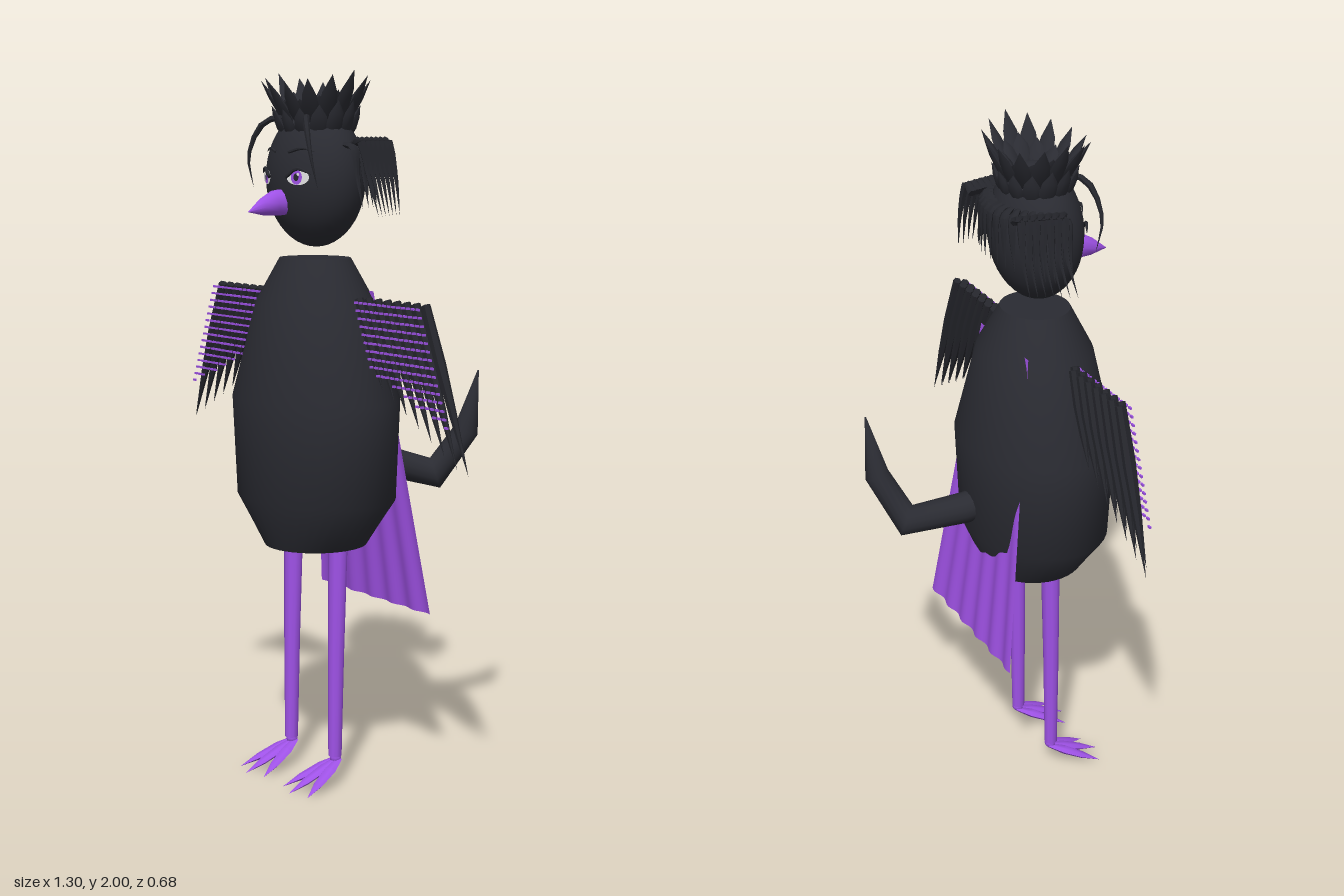
import * as THREE from 'three';
import { mergeGeometries, toCreasedNormals } from 'three/addons/utils/BufferGeometryUtils.js';

const V = (x, y, z) => new THREE.Vector3(x, y, z);
const X = V(1, 0, 0), Z = V(0, 0, 1);

// Loft of elliptical rings along points. Each radius is [across, along ref].
function loft(points, radii, sides, ref, crease = 0.8) {
  const pos = [], idx = [], n = points.length;
  points.forEach((p, i) => {
    const t = points[Math.min(i + 1, n - 1)].clone().sub(points[Math.max(i - 1, 0)]).normalize();
    const a = ref.clone().cross(t).normalize(), b = t.clone().cross(a);
    const [ra, rb = ra] = [radii[i]].flat();
    for (let j = 0; j < sides; j++) {
      const q = j / sides * Math.PI * 2;
      pos.push(...p.clone().addScaledVector(a, ra * Math.cos(q)).addScaledVector(b, rb * Math.sin(q)).toArray());
    }
  });
  for (let i = 0; i < n - 1; i++) for (let j = 0; j < sides; j++) {
    const k = (j + 1) % sides, A = i * sides, B = A + sides;
    idx.push(A + j, A + k, B + k, A + j, B + k, B + j);
  }
  for (let j = 0; j < sides; j++) {
    const k = (j + 1) % sides, e = (n - 1) * sides, c = n * sides;
    idx.push(c, k, j, c + 1, e + j, e + k);
  }
  pos.push(...points[0].toArray(), ...points[n - 1].toArray());
  const g = new THREE.BufferGeometry();
  g.setAttribute('position', new THREE.Float32BufferAttribute(pos, 3));
  g.setIndex(idx);
  return toCreasedNormals(g, crease);
}

// Tapering blade that follows a smooth curve
function strand(points, r, ref, thin = 1, steps = 8) {
  const pts = new THREE.CatmullRomCurve3(points).getPoints(steps);
  return loft(pts, pts.map((_, i) => {
    const w = r * Math.min(1, 1.6 * (1 - i / steps));
    return [w, w * thin];
  }), 6, ref);
}

// Straight pointed leaf: width w, thickness d along ref
function leaf(root, tip, w, d, ref) {
  const f = [0, 0.3, 0.65, 1], s = [0.5, 1, 0.8, 0];
  return loft(f.map(t => root.clone().lerp(tip, t)), s.map(k => [w * k, d * k]), 6, ref);
}

export function createModel() {
  const mat = (name, color) => {
    const m = new THREE.MeshStandardMaterial({ color });
    m.name = name;
    return m;
  };
  const black = mat('charcoal', 0x2a2b32), dark = mat('featherBlack', 0x25262c);
  const purple = mat('purple', 0xa455ee), capeMat = mat('capePurple', 0xa052e6);
  const white = mat('eyeWhite', 0xf4f4f4);
  capeMat.side = THREE.DoubleSide;
  const model = new THREE.Group();
  const add = (name, geo, material, parent = model) => {
    const m = new THREE.Mesh(Array.isArray(geo) ? mergeGeometries(geo) : geo, material);
    m.name = name;
    parent.add(m);
    return m;
  };

  // Body: barrel of elliptical rings [y, z radius, x radius]
  const rings = [[0.68, 0.145, 0.145], [0.82, 0.202, 0.262], [1.1, 0.215, 0.272], [1.37, 0.158, 0.182], [1.49, 0.096, 0.106]];
  add('body', loft(rings.map(r => V(0, r[0], 0.115)), rings.map(r => [r[1], r[2]]), 40, X), black);

  // Head and beak
  const head = add('head', new THREE.SphereGeometry(1, 32, 24), black);
  head.scale.set(0.165, 0.19, 0.122);
  head.position.set(0, 1.71, 0.113);
  add('beak', loft([V(0, 1.647, 0.21), V(0, 1.642, 0.25), V(0, 1.632, 0.29), V(0, 1.62, 0.338)],
    [[0.024, 0.037], [0.026, 0.036], [0.021, 0.024], 0], 10, V(0, 1, 0)), purple);

  // Crown: rings of pointed feathers [count, offset, base radius, tip radius, base y, tip y]
  const crown = [];
  for (const [n, off, b, t, y0, y1] of [[14, 0, 0.085, 0.178, 1.85, 1.998], [14, 0.5, 0.1, 0.145, 1.82, 1.925], [12, 0.25, 0.065, 0.125, 1.87, 1.95]])
    for (let i = 0; i < n; i++) {
      const q = (i + off) / n * Math.PI * 2, c = Math.cos(q), s = Math.sin(q);
      crown.push(leaf(V(b * c, y0, 0.108 + b * 0.8 * s), V(t * c, y1 - 0.03 * Math.abs(s), 0.112 + t * 0.76 * s),
        0.026, 0.011, V(c, 0, s)));
    }
  add('crownFeathers', crown, black);

  // Fringe round the back of the head, longer toward the sides
  const fringe = [];
  for (let i = 0; i <= 18; i++) {
    const q = Math.PI + i / 18 * Math.PI, c = Math.cos(q), s = Math.sin(q);
    const at = (r, y, dx) => V((0.165 * r + dx) * c, y, 0.113 + 0.122 * r * s);
    fringe.push(strand([at(0.85, 1.8, 0), at(1.08, 1.79, 0), at(1.12, 1.71, 0.01), at(1.1, 1.65 - 0.02 * Math.abs(c), 0.035)],
      0.014, V(c, 0, s), 0.6));
  }
  add('backFringe', fringe, dark);

  for (const s of [1, -1]) {
    const side = s > 0 ? 'left' : 'right';

    // Swept lock beside the face, drawn in toward the back
    const lock = [];
    for (let i = 0; i < 7; i++) {
      const z = 0.1 - i * 0.019, k = i * 0.009;
      lock.push(strand([V(s * (0.15 - k / 2), 1.795, z), V(s * (0.187 - k / 2), 1.81, z), V(s * (0.213 - k / 2), 1.72, z - 0.008),
        V(s * (0.27 - k), 1.61, z)], 0.013, X, 0.9));
    }
    add(side + 'Lock', lock, dark);
    add(side + 'FrontStrand', strand([V(s * 0.03, 1.88, 0.16), V(s * 0.1, 1.86, 0.215), V(s * 0.148, 1.77, 0.235),
      V(s * 0.153, 1.68, 0.215)], 0.009, Z), dark);

    // Eye: stacked thin discs, lash and brow
    const eye = new THREE.Group();
    eye.name = side + 'Eye';
    eye.position.set(s * 0.073, 1.713, 0.2245);
    eye.rotation.y = s * 0.36;
    model.add(eye);
    const disc = (name, rx, ry, x, y, z, m) => {
      const d = add(name, new THREE.CircleGeometry(1, 20), m, eye);
      d.scale.set(rx, ry, 1);
      d.position.set(x, y, z);
    };
    disc('eyeWhite', 0.037, 0.021, 0, 0, 0, white);
    disc('iris', 0.018, 0.02, -s * 0.003, 0, 0.002, purple);
    disc('pupil', 0.008, 0.01, -s * 0.003, 0, 0.004, dark);
    disc('glint', 0.004, 0.004, 0.004, 0.008, 0.005, white);
    add('lash', strand([V(-s * 0.037, 0, 0.003), V(0, 0.023, 0.005), V(s * 0.03, 0.014, 0.002), V(s * 0.045, 0.008, 0)], 0.005, Z), dark, eye);
    add(side + 'Brow', strand([V(s * 0.03, 1.78, 0.224), V(s * 0.075, 1.79, 0.212), V(s * 0.115, 1.78, 0.195)], 0.0045, Z), dark);

    // Wing: staggered long feathers with rows of small purple flecks on the front
    const feathers = [], flecks = [], N = 14;
    for (let i = 0; i < N; i++) {
      const t = i / (N - 1), z = i % 2 ? 0.108 : 0.124;
      const root = V(s * (0.215 + 0.265 * t), 1.39, z), tip = V(s * (0.315 + 0.337 * t), 1.15 - 0.187 * t, z - 0.004);
      const mid = f => root.clone().lerp(tip, f);
      feathers.push(loft([root, mid(0.35), mid(0.65), tip], [[0.013, 0.012], [0.015, 0.015], [0.0115, 0.01], 0], 6, Z));
      for (let y = 1.38; y > 1.2 - 0.12 * t; y -= 0.021) {
        const p = mid((root.y - y) / (root.y - tip.y));
        flecks.push(new THREE.BoxGeometry(0.012, 0.006, 0.005).translate(p.x, p.y, 0.138));
      }
    }
    add(side + 'WingFeathers', feathers, dark);
    add(side + 'WingFlecks', flecks, purple);

    // Leg, ankle and three-toed foot
    const x = s * 0.108;
    add(side + 'Leg', loft([V(x, 0.08, 0.128), V(x, 0.38, 0.124), V(x, 0.74, 0.116)], [0.019, 0.023, 0.028], 10, X), purple);
    add(side + 'Ankle', new THREE.SphereGeometry(0.017, 10, 8).translate(x, 0.075, 0.126), purple);
    add(side + 'Toes', [-1, 0, 1].map(k => leaf(V(x + k * 0.007, 0.07, 0.118),
      V(x + k * 0.06, 0, k ? 0.268 : 0.29), 0.019, 0.011, V(0, 1, 0))), purple);
  }

  // Tail: bent and tapering to a point
  add('tail', loft([V(0, 0.915, -0.04), V(0.01, 0.9, -0.1), V(0.09, 0.855, -0.248), V(0.158, 0.985, -0.308), V(0.188, 1.16, -0.325)],
    [0.045, 0.045, 0.047, 0.036, 0.002], 14, V(-0.9, 0, -0.45), 1.5), black);

  // Cape: flared sheet with gentle folds growing toward the hem
  const cape = new THREE.PlaneGeometry(1, 1, 48, 10), p = cape.attributes.position;
  for (let i = 0; i < p.count; i++) {
    const u = p.getX(i), v = 0.5 - p.getY(i);
    p.setXYZ(i, 2 * u * (0.143 + 0.117 * v), 1.4 - 0.91 * v, 0.02 - 0.112 * v + 0.005 * v * Math.cos(u * 34));
  }
  cape.computeVertexNormals();
  add('cape', cape, capeMat);

  return model;
}
